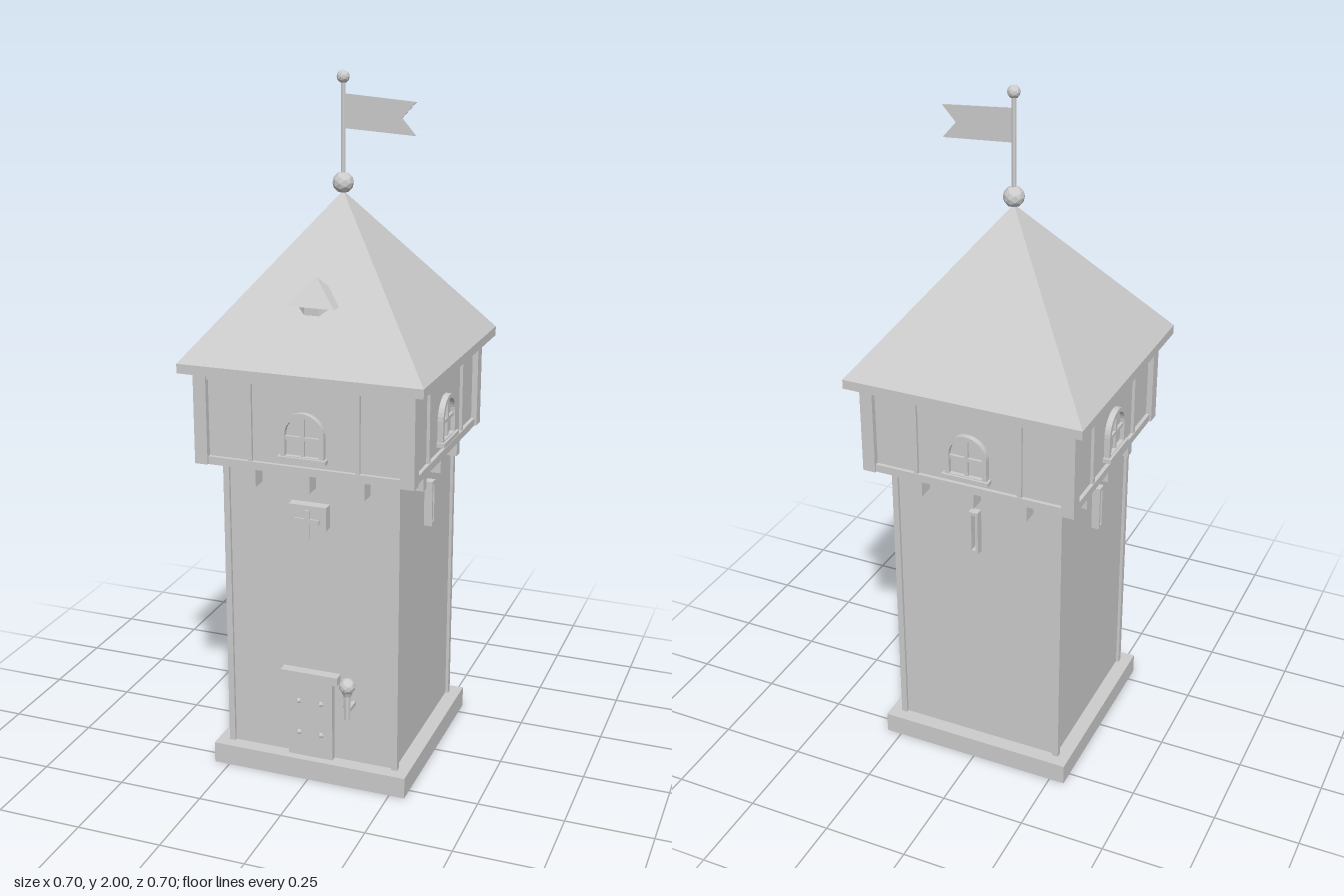
import * as THREE from 'three';

const stone = new THREE.MeshStandardMaterial({ color: 0xcccccc, flatShading: true });
stone.name = 'pale grey';

function add(parent, name, geometry, x = 0, y = 0, z = 0) {
  const mesh = new THREE.Mesh(geometry, stone);
  mesh.name = name;
  mesh.position.set(x, y, z);
  parent.add(mesh);
  return mesh;
}

// box given by its limits on each axis
function box(parent, name, x0, x1, y0, y1, z0, z1) {
  return add(parent, name, new THREE.BoxGeometry(x1 - x0, y1 - y0, z1 - z0),
    (x0 + x1) / 2, (y0 + y1) / 2, (z0 + z1) / 2);
}

function outline(points) {
  return new THREE.Shape(points.map(([x, y]) => new THREE.Vector2(x, y)));
}

function plate(parent, name, shape, depth, z) {
  return add(parent, name, new THREE.ExtrudeGeometry(shape, { depth, bevelEnabled: false, curveSegments: 8 }), 0, 0, z);
}

// arch with a straight foot at y0 and its round part centred at y1
function arch(r, y0, y1, Type = THREE.Shape) {
  const s = new Type();
  s.moveTo(-r, y0);
  s.lineTo(r, y0);
  s.lineTo(r, y1);
  s.absarc(0, y1, r, 0, Math.PI, false);
  s.lineTo(-r, y0);
  return s;
}

function pyramid(halfWidth, height) {
  return new THREE.ConeGeometry(halfWidth * Math.SQRT2, height, 4).rotateY(Math.PI / 4);
}

function archedWindow(parent) {
  const group = new THREE.Group();
  group.name = 'window';
  parent.add(group);
  const frame = arch(0.063, 0.99, 1.06);
  frame.holes.push(arch(0.05, 1.0, 1.06, THREE.Path));
  plate(group, 'windowFrame', frame, 0.022, 0.298);
  plate(group, 'windowPane', arch(0.055, 0.995, 1.06), 0.006, 0.301);
  box(group, 'mullion', -0.005, 0.005, 0.99, 1.115, 0.3, 0.315);
  box(group, 'transom', -0.055, 0.055, 1.045, 1.055, 0.3, 0.315);
  box(group, 'windowSill', -0.07, 0.07, 0.985, 0.998, 0.3, 0.327);
}

function arrowSlit(parent) {
  const frame = outline([[-0.014, 0.725], [0.014, 0.725], [0.014, 0.86], [-0.014, 0.86]]);
  frame.holes.push(outline([[-0.006, 0.735], [0.006, 0.735], [0.006, 0.85], [-0.006, 0.85]]));
  plate(parent, 'arrowSlitFrame', frame, 0.03, 0.247);
}

function shield(parent) {
  plate(parent, 'shield',
    outline([[-0.056, 0.848], [-0.056, 0.78], [0, 0.728], [0.056, 0.78], [0.056, 0.848]]), 0.034, 0.25);
  box(parent, 'shieldUpright', -0.007, 0.007, 0.752, 0.835, 0.28, 0.289);
  box(parent, 'shieldBar', -0.036, 0.036, 0.795, 0.81, 0.28, 0.289);
}

function door(parent) {
  box(parent, 'door', -0.068, 0.068, 0.06, 0.312, 0.25, 0.272);
  box(parent, 'doorLintel', -0.087, 0.087, 0.31, 0.335, 0.25, 0.283);
  for (const x of [-0.034, 0.034])
    for (const y of [0.14, 0.24])
      add(parent, 'doorStud', new THREE.SphereGeometry(0.008, 6, 4), x, y, 0.275);
}

function torch(parent) {
  const group = new THREE.Group();
  group.name = 'torch';
  group.position.set(0.127, 0, 0.308);
  parent.add(group);
  add(group, 'torchHandle', new THREE.CylinderGeometry(0.012, 0.009, 0.09, 8), 0, 0.272, 0);
  add(group, 'torchCup', new THREE.CylinderGeometry(0.021, 0.012, 0.025, 8), 0, 0.314, 0);
  add(group, 'torchFlame', new THREE.IcosahedronGeometry(0.024, 1), 0, 0.331, 0);
  box(group, 'torchBracket', -0.006, 0.006, 0.245, 0.257, -0.058, 0);
}

export function createModel() {
  const tower = new THREE.Group();
  tower.name = 'tower';

  // main masses
  box(tower, 'plinth', -0.296, 0.296, 0, 0.063, -0.296, 0.296);
  box(tower, 'shaft', -0.253, 0.253, 0.063, 0.95, -0.253, 0.253);
  box(tower, 'shaftCap', -0.258, 0.258, 0.935, 0.95, -0.258, 0.258);
  box(tower, 'upperStorey', -0.303, 0.303, 0.947, 1.215, -0.303, 0.303);

  // corner timbers
  for (const sx of [-1, 1])
    for (const sz of [-1, 1]) {
      add(tower, 'shaftCorner', new THREE.BoxGeometry(0.018, 0.872, 0.018), sx * 0.253, 0.499, sz * 0.253);
      add(tower, 'upperCorner', new THREE.BoxGeometry(0.038, 0.267, 0.038), sx * 0.301, 1.0785, sz * 0.301);
    }

  // the four sides: front, left, back, right
  for (let i = 0; i < 4; i++) {
    const side = new THREE.Group();
    side.name = ['frontSide', 'leftSide', 'backSide', 'rightSide'][i];
    side.rotation.y = i * Math.PI / 2;
    tower.add(side);
    for (const x of [-0.16, 0, 0.16])
      box(side, 'corbel', x - 0.014, x + 0.014, 0.89, 0.95, 0.25, 0.3);
    for (const x of [-0.157, 0.157])
      box(side, 'wallStud', x - 0.006, x + 0.006, 0.96, 1.21, 0.3, 0.312);
    box(side, 'bottomBeam', -0.29, 0.29, 0.945, 0.968, 0.29, 0.314);
    box(side, 'topBeam', -0.29, 0.29, 1.19, 1.212, 0.29, 0.314);
    archedWindow(side);
    if (i > 0) arrowSlit(side);
    else {
      shield(side);
      door(side);
      torch(side);
    }
  }

  // roof
  box(tower, 'eaves', -0.352, 0.352, 1.21, 1.237, -0.352, 0.352);
  add(tower, 'roof', pyramid(0.352, 0.438), 0, 1.456, 0);

  // dormer
  add(tower, 'dormerRoof', pyramid(0.07, 0.075), 0, 1.4375, 0.206).scale.z = 0.73;
  add(tower, 'dormerBody', new THREE.CylinderGeometry(0.057, 0.057, 0.08, 8).rotateY(Math.PI / 8),
    0, 1.362, 0.206).scale.z = 0.66;

  // finial, pole and pennant
  add(tower, 'finial', new THREE.IcosahedronGeometry(0.03, 1), 0, 1.697, 0);
  add(tower, 'flagPole', new THREE.CylinderGeometry(0.007, 0.007, 0.3, 8), 0, 1.83, 0);
  add(tower, 'poleKnob', new THREE.IcosahedronGeometry(0.018, 1), 0, 1.982, 0);
  plate(tower, 'flag',
    outline([[0, 1.845], [0.21, 1.832], [0.17, 1.878], [0.21, 1.922], [0, 1.938]]), 0.004, 0.001);

  return tower;
}
